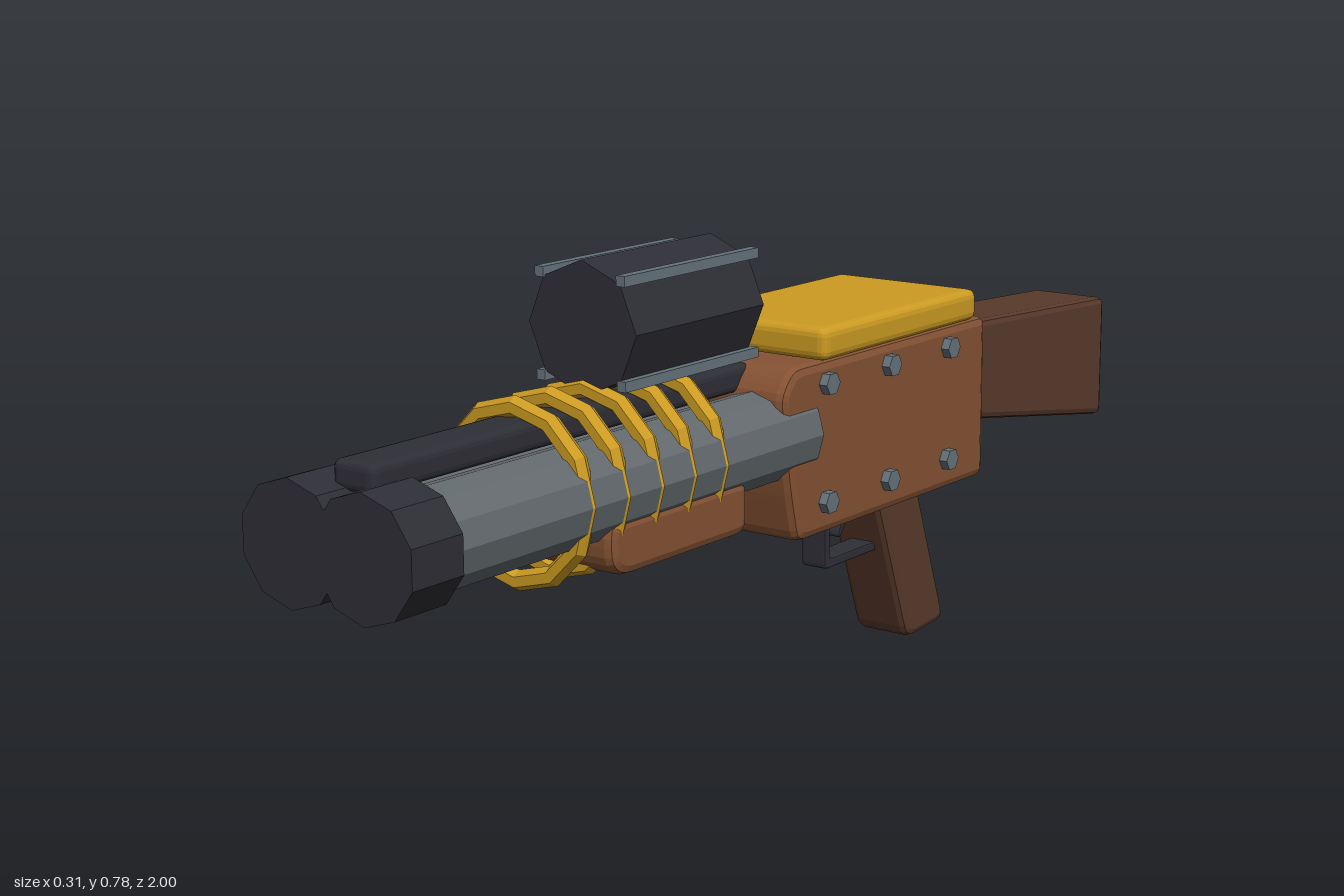
import * as THREE from 'three';
import { RoundedBoxGeometry } from 'three/addons/geometries/RoundedBoxGeometry.js';

const mat = (name, color) => {
  const m = new THREE.MeshStandardMaterial({ color, flatShading: true });
  m.name = name;
  return m;
};

// Side profile of [z, y] points with softened corners, extruded across x with a bevel
function sideProfile(points, width, corner = 0.02, bevel = 0.012) {
  const pts = points.map(p => new THREE.Vector2(...p));
  const shape = new THREE.Shape();
  pts.forEach((p, i) => {
    const prev = pts[(i + pts.length - 1) % pts.length];
    const next = pts[(i + 1) % pts.length];
    const toward = q => p.clone().add(q.clone().sub(p).setLength(Math.min(corner, p.distanceTo(q) * 0.45)));
    const a = toward(prev), b = toward(next);
    if (i === 0) shape.moveTo(a.x, a.y); else shape.lineTo(a.x, a.y);
    shape.quadraticCurveTo(p.x, p.y, b.x, b.y);
  });
  shape.closePath();
  const depth = width - 2 * bevel;
  const geo = new THREE.ExtrudeGeometry(shape, {
    depth, bevelEnabled: true, bevelThickness: bevel, bevelSize: bevel,
    bevelOffset: -bevel, bevelSegments: 2, curveSegments: 3,
  });
  return geo.translate(0, 0, -depth / 2).rotateY(-Math.PI / 2);
}

// Cylinder lying along z between two depths
const rod = (r, z0, z1, sides) =>
  new THREE.CylinderGeometry(r, r, z1 - z0, sides).rotateX(Math.PI / 2).translate(0, 0, (z0 + z1) / 2);

export function createModel() {
  const model = new THREE.Group();
  const wood = mat('wood', 0x855233);
  const darkWood = mat('dark wood', 0x593a2b);
  const steel = mat('steel', 0x636a6e);
  const boltSteel = mat('bolt steel', 0x66737c);
  const black = mat('black metal', 0x2e2e36);
  const gold = mat('gold', 0xcc9b22);

  const add = (name, geo, material, x = 0, y = 0, z = 0) => {
    const mesh = new THREE.Mesh(geo, material);
    mesh.name = name;
    mesh.position.set(x, y, z);
    model.add(mesh);
    return mesh;
  };

  // Wooden body
  add('receiver', sideProfile([
    [-0.475, 0.285], [0.088, 0.285], [0.108, 0.37], [0.135, 0.53], [0.1, 0.57], [-0.475, 0.57],
  ], 0.26, 0.02, 0.015), wood);
  add('foregrip', sideProfile([
    [0.222, 0.332], [0.53, 0.332], [0.557, 0.355], [0.557, 0.42], [0.222, 0.42],
  ], 0.26, 0.025, 0.015), wood);
  add('stock', sideProfile([
    [-1, 0.292], [-0.482, 0.375], [-0.482, 0.547], [-1, 0.521],
  ], 0.15, 0.018), darkWood);
  add('grip', sideProfile([
    [-0.355, 0], [-0.478, 0.01], [-0.378, 0.29], [-0.25, 0.29],
  ], 0.107, 0.025), darkWood);

  // Twin barrels with muzzle caps
  for (const side of [-1, 1]) {
    add('barrel', rod(0.076, 0.04, 0.91, 12), steel, side * 0.068, 0.456);
    add('muzzleCap', rod(0.093, 0.9, 1, 10), black, side * 0.068, 0.456);
  }
  add('topRib', new RoundedBoxGeometry(0.078, 0.044, 0.855, 2, 0.012), black, 0, 0.547, 0.5175);

  // Gold bands around both barrels
  for (let i = 0; i < 5; i++) {
    add('barrelBand', new THREE.TorusGeometry(0.13, 0.016, 6, 12), gold, 0, 0.456, 0.295 + i * 0.079);
  }

  // Drum scope with four edge rails
  add('scope', rod(0.102, 0.145, 0.46, 8), black, 0, 0.676);
  for (const x of [-0.077, 0.077]) {
    for (const y of [0.598, 0.754]) {
      add('scopeRail', new THREE.BoxGeometry(0.016, 0.016, 0.33), boltSteel, x, y, 0.3);
    }
  }

  // Gold top plate
  add('topPlate', new RoundedBoxGeometry(0.286, 0.054, 0.46, 2, 0.015), gold, 0, 0.598, -0.193);

  // Hexagonal bolts on both sides
  const bolt = new THREE.CylinderGeometry(0.019, 0.019, 0.03, 6).rotateZ(Math.PI / 2);
  for (const side of [-1, 1]) {
    for (const y of [0.534, 0.34]) {
      for (const z of [0.015, -0.165, -0.347]) add('bolt', bolt, boltSteel, side * 0.13, y, z);
    }
  }

  // Trigger and its guard
  add('triggerGuard', sideProfile([
    [-0.14, 0.295], [-0.155, 0.295], [-0.155, 0.188], [-0.31, 0.188], [-0.31, 0.172], [-0.14, 0.172],
  ], 0.048, 0.008, 0.003), black);
  add('trigger', sideProfile([
    [-0.208, 0.295], [-0.238, 0.295], [-0.226, 0.245], [-0.2, 0.212], [-0.196, 0.22], [-0.212, 0.25],
  ], 0.026, 0.006, 0.002), black);

  return model;
}
